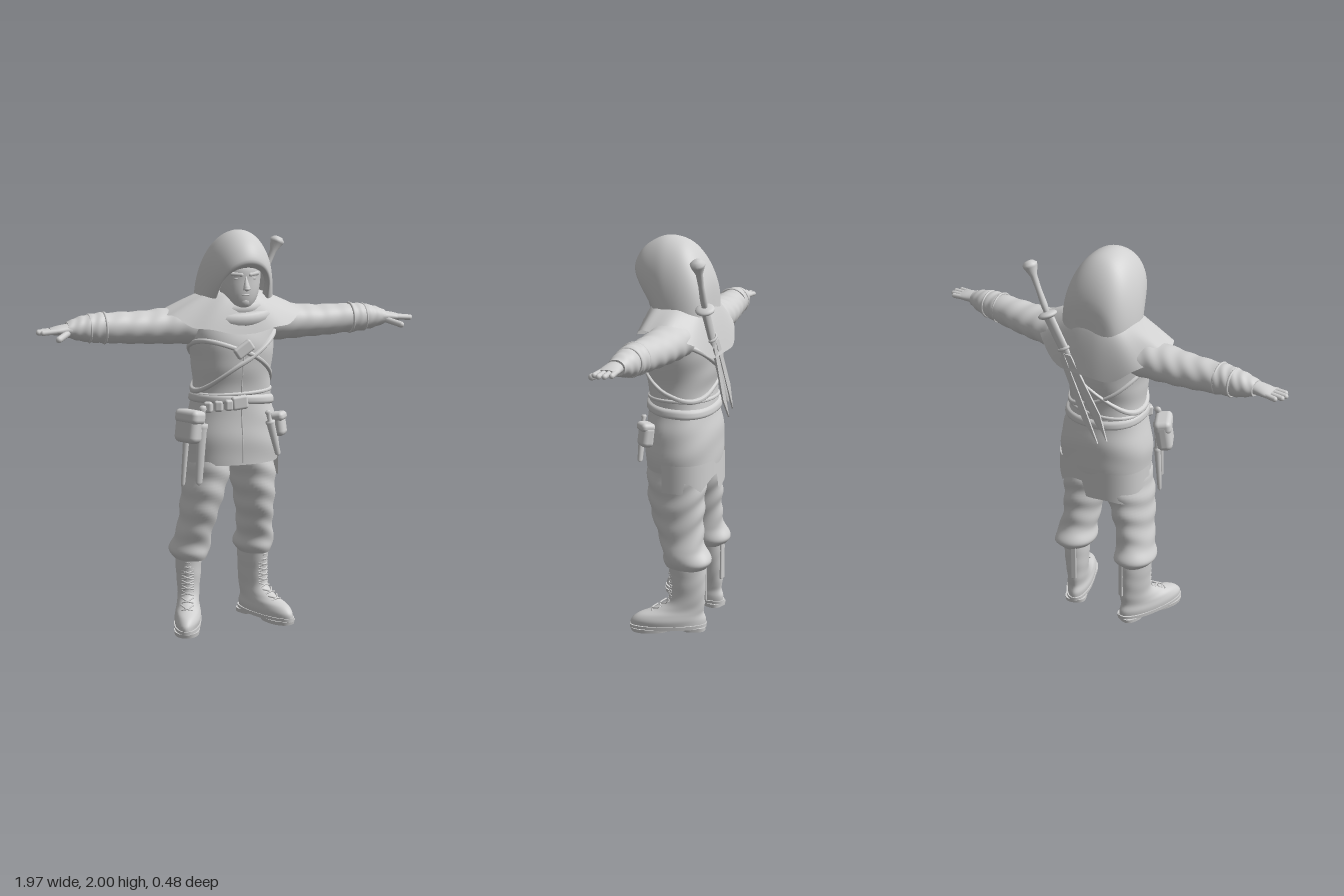
import * as THREE from 'three';
import { RoundedBoxGeometry } from 'three/addons/geometries/RoundedBoxGeometry.js';

const { sin, cos, abs, sign, PI, pow, floor, min, max } = Math;
const clay = new THREE.MeshStandardMaterial({ color: 0xd0d0d0, side: THREE.DoubleSide });
clay.name = 'grey clay';
const lerp = THREE.MathUtils.lerp;
const V = (x, y, z) => new THREE.Vector3(x, y, z);
const bend = (q, p) => sign(q) * pow(abs(q), p);

function mesh(parent, name, geometry, pos = [0, 0, 0], rot = [0, 0, 0], scale = [1, 1, 1]) {
  const m = new THREE.Mesh(geometry, clay);
  m.name = name;
  m.position.set(...pos); m.rotation.set(...rot); m.scale.set(...scale);
  parent.add(m);
  return m;
}

// Grid surface: fn(u, v) gives [x, y, z]; closed wraps u.
function surface(fn, nu, nv, closed = false) {
  const pos = [], idx = [], cols = closed ? nu : nu + 1;
  for (let j = 0; j <= nv; j++) for (let i = 0; i < cols; i++) pos.push(...fn(i / nu, j / nv));
  for (let j = 0; j < nv; j++) for (let i = 0; i < nu; i++) {
    const a = j * cols + i, b = j * cols + (i + 1) % cols, c = a + cols, d = b + cols;
    idx.push(a, c, b, b, c, d);
  }
  const g = new THREE.BufferGeometry();
  g.setAttribute('position', new THREE.Float32BufferAttribute(pos, 3));
  g.setIndex(idx);
  g.computeVertexNormals();
  return g;
}

// Smooth blend through the rows of a section table, t in 0..1.
function rowAt(rows, t) {
  const n = rows.length - 1, k = min(floor(t * n), n - 1), f = t * n - k;
  const r = i => rows[max(0, min(n, i))];
  return rows[0].map((_, c) => {
    const p0 = r(k - 1)[c], p1 = r(k)[c], p2 = r(k + 1)[c], p3 = r(k + 2)[c];
    return p1 + 0.5 * f * (p2 - p0 + f * (2 * p0 - 5 * p1 + 4 * p2 - p3 + f * (3 * (p1 - p2) + p3 - p0)));
  });
}

// Rows are [height, cx, cz, rx, rz]; the ends are capped; fold adds cloth creases.
function loft(rows, { fold = 0, freq = 90, power = 1, nu = 40, steps = 6 } = {}) {
  const n = (rows.length - 1) * steps;
  const ring = (u, t, shrink) => {
    const [y, cx, cz, rx, rz] = rowAt(rows, t), a = u * 2 * PI;
    const w = shrink * (1 + fold * sin(freq * y + 2.2 * sin(a + 1) + 1.3 * cos(2 * a)));
    return [cx + rx * w * bend(cos(a), power), y, cz + rz * w * bend(sin(a), power)];
  };
  // The end rings are doubled to keep the cap edges sharp.
  return surface((u, v) => {
    const j = Math.round(v * (n + 4)) - 2;
    return ring(u, max(0, min(n, j)) / n, j === -2 || j === n + 2 ? 0 : 1);
  }, nu, n + 4, true);
}

const tube = (pts, r, seg = 24) =>
  new THREE.TubeGeometry(new THREE.CatmullRomCurve3(pts.map(p => V(...p))), seg, r, 8);

const torsoRows = [
  [0.85, 0.005, -0.01, 0.235, 0.178], [0.95, 0.003, -0.01, 0.243, 0.183], [1.05, 0, -0.01, 0.231, 0.178],
  [1.15, 0, -0.005, 0.203, 0.165], [1.25, 0, 0, 0.193, 0.163], [1.35, 0, 0, 0.2, 0.182],
  [1.45, 0, -0.005, 0.212, 0.188], [1.55, 0, -0.015, 0.205, 0.17], [1.65, 0.01, -0.02, 0.11, 0.11]];
const torsoPoint = (a, y, off) => {
  const [, cx, cz, rx, rz] = rowAt(torsoRows, (y - 0.85) / 0.8);
  return [cx + (rx + off) * bend(cos(a), 0.88), y, cz + (rz + off) * bend(sin(a), 0.88)];
};
// Band wrapped round the torso; height follows fn(angle).
const band = (fn, width, off) => surface((u, v) => {
  const a = u * 2 * PI, k = v * 2 - 1;
  return torsoPoint(a, fn(a) + k * width / 2, off * (1 - pow(abs(k), 4) * 1.2));
}, 72, 8, true);

function buildHead(g) {
  mesh(g, 'head', loft([[1.6, 0.015, 0.07, 0.055, 0.06], [1.64, 0.015, 0.09, 0.065, 0.075], [1.69, 0.015, 0.08, 0.09, 0.098],
    [1.76, 0.015, 0.07, 0.105, 0.108], [1.83, 0.015, 0.065, 0.104, 0.108], [1.9, 0.015, 0.05, 0.06, 0.07]]));
  mesh(g, 'nose', new THREE.ConeGeometry(0.02, 0.075, 12), [0.015, 1.755, 0.182], [-0.2, 0, 0]);
  mesh(g, 'noseTip', new THREE.SphereGeometry(0.017, 12, 8), [0.015, 1.728, 0.188]);
  mesh(g, 'mouth', new THREE.SphereGeometry(0.028, 16, 8), [0.015, 1.692, 0.165], [0, 0, 0], [1, 0.3, 0.6]);
  mesh(g, 'chin', new THREE.SphereGeometry(0.034, 16, 10), [0.015, 1.66, 0.142]);
  for (const s of [-1, 1]) {
    mesh(g, 'brow', new THREE.CapsuleGeometry(0.011, 0.045, 4, 10), [0.015 + s * 0.043, 1.792, 0.163], [0, s * 0.35, PI / 2 + s * 0.1]);
    mesh(g, 'eye', new THREE.SphereGeometry(0.013, 12, 8), [0.015 + s * 0.04, 1.77, 0.16], [0, 0, 0], [1.3, 0.7, 0.8]);
  }
  // Hood arches from front lip to nape: [topZ, topY, bottomZ, bottomY, halfWidth, roundness]
  const arches = [[0.19, 1.825, 0.04, 1.64, 0.118, 0.55], [0.235, 1.855, 0.07, 1.62, 0.132, 0.58], [0.2, 1.93, 0.06, 1.6, 0.158, 0.68],
    [0.125, 1.983, 0.04, 1.58, 0.18, 0.75], [0.05, 2.0, 0.01, 1.57, 0.192, 0.75], [-0.04, 1.975, -0.05, 1.57, 0.194, 0.75],
    [-0.11, 1.9, -0.1, 1.57, 0.18, 0.7], [-0.155, 1.79, -0.135, 1.57, 0.15, 0.65], [-0.165, 1.66, -0.16, 1.57, 0.1, 0.65]];
  mesh(g, 'hood', surface((u, v) => {
    const [tz, ty, bz, by, w, p] = rowAt(arches, v), t = u * PI, f = pow(max(0, sin(t)), p);
    return [0.018 + w * cos(t), lerp(by, ty, f), lerp(bz, tz, f)];
  }, 40, 40));
  // Scarf rolls
  [[0.145, 0.035, 1.64, 0.2], [0.175, 0.038, 1.605, 0.26], [0.135, 0.032, 1.61, 0.45]].forEach(([r, t, y, tilt]) =>
    mesh(g, 'scarf', new THREE.TorusGeometry(r, t, 12, 40), [0.015, y, 0.01], [PI / 2 + tilt, 0.06, 0], [1.08, 0.85, 1]));
}

function buildTorso(g) {
  mesh(g, 'tunic', loft(torsoRows, { power: 0.88, fold: 0.008, freq: 40, nu: 64 }));
  // Shoulder mantle, hanging lower at the back
  mesh(g, 'mantle', surface((u, v) => {
    const a = u * 2 * PI, c = bend(cos(a), 0.75), s = sin(a);
    const drop = 0.095 * cos(a) ** 2 + (s > 0 ? 0.19 : 0.27) * s * s + 0.008 * sin(9 * a);
    return [0.005 + lerp(0.13, 0.355, v) * c, 1.7 - drop * pow(v, 1.2),
      -0.015 + lerp(0.12, 0.202, pow(v, 0.7)) * bend(s, 0.88)];
  }, 72, 14, true));
  mesh(g, 'chestStrap', band(a => 1.36 + 0.15 * cos(a), 0.03, 0.012));
  mesh(g, 'crossStrap', band(a => 1.34 - 0.1 * cos(a) + 0.08 * sin(a), 0.028, 0.01));
  mesh(g, 'strapBuckle', new RoundedBoxGeometry(0.1, 0.06, 0.03, 3, 0.012), [0, 1.43, 0.192], [0, 0, 0.6]);
  mesh(g, 'belt', band(a => 1.165 - 0.012 * cos(a) + 0.012 * sin(a), 0.05, 0.013));
  mesh(g, 'upperBelt', band(a => 1.205 + 0.008 * cos(a), 0.02, 0.008));
  mesh(g, 'frontSeam', tube([1.55, 1.4, 1.25, 1.1, 0.96, 0.86].map(y => torsoPoint(PI / 2, y, 0)), 0.004));
  // Back tail below the tunic hem: one whole panel, one torn panel
  mesh(g, 'backTail', surface((u, v) => {
    const a = PI * (0.96 + u * 1.08);
    const tear = u > 0.5 ? 0.02 + 0.06 * abs(sin(9 * u)) * (u < 0.85) : 0.006 * sin(20 * u);
    return [0.005 + 0.242 * bend(cos(a), 0.75), lerp(0.9, 0.735 + tear, v), -0.012 + 0.178 * bend(sin(a), 0.8)];
  }, 72, 8));
}

function buildBeltGear(g) {
  mesh(g, 'beltBuckle', new RoundedBoxGeometry(0.085, 0.07, 0.03, 3, 0.014), [-0.015, 1.165, 0.172], [0, 0, 0.1]);
  [-0.07, -0.115, -0.16].forEach((x, i) =>
    mesh(g, 'beltPouch', new RoundedBoxGeometry(0.042, 0.055, 0.04, 3, 0.012), [x, 1.155 - i * 0.006, 0.165 - i * 0.022], [0, -0.3 * i, 0]));
  mesh(g, 'sidePouch', new RoundedBoxGeometry(0.08, 0.16, 0.14, 4, 0.03), [-0.258, 1.05, 0.115], [0, 0.5, -0.15]);
  mesh(g, 'pouchFlap', new RoundedBoxGeometry(0.088, 0.07, 0.148, 3, 0.025), [-0.252, 1.1, 0.117], [0, 0.5, -0.15]);
  mesh(g, 'leftPouch', new RoundedBoxGeometry(0.07, 0.11, 0.08, 4, 0.025), [0.21, 1.03, 0.115], [0, -0.7, 0.15]);
  mesh(g, 'leftPouchFlap', new RoundedBoxGeometry(0.075, 0.045, 0.085, 3, 0.02), [0.207, 1.075, 0.118], [0, -0.7, 0.15]);
  const blade = [[0.006, -0.2], [0.018, -0.185], [0.026, 0.08], [0.03, 0.085], [0.03, 0.105], [0.014, 0.11],
    [0.014, 0.17], [0.02, 0.18], [0.014, 0.195], [0, 0.198]].map(p => new THREE.Vector2(...p));
  const sheath = new THREE.LatheGeometry(blade, 14);
  mesh(g, 'dagger', sheath, [-0.208, 0.96, 0.148], [0, 0, -0.06], [1, 1, 0.7]);
  mesh(g, 'dagger', sheath, [-0.262, 0.9, 0.06], [0, 0, -0.08], [0.6, 0.8, 0.6]);
  mesh(g, 'dagger', sheath, [0.165, 1.0, 0.158], [0, 0, 0.25], [0.8, 0.6, 0.7]);
}

function buildArm(g, s) {
  const arm = new THREE.Group();
  arm.name = s > 0 ? 'leftArm' : 'rightArm';
  // Lofted upright, then laid along x
  const laid = (name, rows, opts) => mesh(arm, name,
    loft(rows.map(([x, y, z, ry, rz]) => [x, -s * y, z, ry, rz]), opts), [0, 0, 0], [0, 0, -s * PI / 2]);
  laid('sleeve', [[0.12, 1.53, -0.03, 0.09, 0.1], [0.24, 1.535, -0.035, 0.095, 0.112], [0.34, 1.532, -0.035, 0.088, 0.103],
    [0.46, 1.53, -0.032, 0.08, 0.093], [0.56, 1.533, -0.028, 0.077, 0.082], [0.66, 1.537, -0.022, 0.071, 0.072]], { fold: 0.022, freq: 65, steps: 12 });
  laid('forearmWrap', [[0.64, 1.537, -0.022, 0.076, 0.076], [0.7, 1.538, -0.018, 0.07, 0.07],
    [0.77, 1.538, -0.014, 0.058, 0.06], [0.83, 1.537, -0.006, 0.037, 0.046]], { fold: 0.025, freq: 130, steps: 12 });
  laid('palm', [[0.8, 1.537, 0, 0.034, 0.04], [0.84, 1.537, 0, 0.028, 0.043], [0.88, 1.535, 0, 0.023, 0.047], [0.915, 1.533, 0, 0.015, 0.046]]);
  for (const [x, r] of [[0.645, 0.074], [0.72, 0.066]])
    mesh(arm, 'cuffBand', new THREE.TorusGeometry(r, 0.006, 8, 32), [s * x, 1.537, -0.019], [0, PI / 2, 0]);
  const finger = (name, a, b, r) => {
    const p = V(s * a[0], a[1], a[2]), q = V(s * b[0], b[1], b[2]), d = q.clone().sub(p);
    const m = mesh(arm, name, new THREE.CapsuleGeometry(r, d.length() - r, 4, 10), p.lerp(q, 0.5).toArray());
    m.quaternion.setFromUnitVectors(V(0, 1, 0), d.normalize());
  };
  [[0.034, 0.042, 0.962], [0.012, 0.015, 0.978], [-0.011, -0.012, 0.973], [-0.033, -0.037, 0.95]].forEach(([z0, z1, x]) =>
    finger('finger', [0.88, 1.535, z0], [x, 1.53, z1], 0.0125));
  finger('thumb', [0.83, 1.525, 0.025], [0.895, 1.5, 0.09], 0.016);
  g.add(arm);
}

function buildLeg(g, s) {
  const leg = new THREE.Group(), R = s < 0 ? 1 : 0;
  leg.name = R ? 'rightLeg' : 'leftLeg';
  // The right leg stands wider and slightly forward
  const shift = y => R * max(0, 0.06 - (y - 0.35) * 0.1), dz = y => R * max(0, 0.03 - (y - 0.35) * 0.07);
  const rows = [[0.345, 0.148, -0.075, 0.08, 0.105], [0.385, 0.149, -0.08, 0.102, 0.126], [0.45, 0.147, -0.058, 0.092, 0.115],
    [0.53, 0.138, -0.035, 0.09, 0.122], [0.65, 0.128, -0.015, 0.1, 0.142], [0.78, 0.115, -0.008, 0.112, 0.152], [0.9, 0.11, -0.01, 0.105, 0.15]];
  mesh(leg, 'trouserLeg', loft(rows.map(([y, x, z, rx, rz]) => [y, s * (x + shift(y)), z + dz(y), rx, rz]), { fold: 0.035, freq: 55, steps: 8 }));
  const boot = new THREE.Group();
  boot.name = 'boot';
  boot.position.set(s * (0.145 + R * 0.065), 0, -0.08 + R * 0.02);
  boot.rotation.y = s * (0.4 - R * 0.05);
  mesh(boot, 'bootUpper', loft([[0.03, 0, 0.1, 0.064, 0.192], [0.06, 0, 0.1, 0.067, 0.19], [0.09, 0, 0.085, 0.062, 0.168],
    [0.12, 0, 0.042, 0.056, 0.126], [0.17, 0, 0.006, 0.056, 0.094], [0.27, 0, 0, 0.064, 0.092], [0.37, 0, 0.005, 0.069, 0.096]], { fold: 0.012, freq: 70 }));
  mesh(boot, 'sole', loft([[0.015, 0, 0.1, 0.067, 0.196], [0.035, 0, 0.1, 0.069, 0.197]], { power: 0.88 }));
  mesh(boot, 'toeSole', loft([[0, 0, 0.19, 0.062, 0.1], [0.02, 0, 0.19, 0.065, 0.105]], { power: 0.88 }));
  mesh(boot, 'heel', loft([[0, 0, -0.03, 0.055, 0.06], [0.02, 0, -0.03, 0.057, 0.062]], { power: 0.7 }));
  // Laces up the front
  const laceZ = y => y < 0.17 ? lerp(0.215, 0.106, (y - 0.1) / 0.07) : lerp(0.101, 0.098, (y - 0.17) / 0.18);
  for (let i = 0; i < 9; i++) {
    const y = 0.11 + i * 0.027;
    for (const k of [-1, 1])
      mesh(boot, 'lace', tube([[-k * 0.03, y, laceZ(y) - 0.02], [0, y + 0.008, laceZ(y + 0.008) - 0.004],
        [k * 0.03, y + 0.018, laceZ(y + 0.018) - 0.02]], 0.0045, 8));
  }
  mesh(boot, 'backStay', new RoundedBoxGeometry(0.03, 0.2, 0.014, 2, 0.006), [0, 0.26, -0.09]);
  leg.add(boot);
  g.add(leg);
}

function buildSword(g) {
  const sword = new THREE.Group(), lower = new THREE.Group();
  sword.name = 'sword';
  sword.position.set(0.218, 1.69, -0.195);
  sword.rotation.z = -0.4;
  const hilt = [[0, 0], [0.014, 0.002], [0.017, 0.06], [0.014, 0.13], [0.017, 0.2], [0.034, 0.245], [0.037, 0.258], [0.02, 0.274], [0, 0.276]];
  mesh(sword, 'hilt', new THREE.LatheGeometry(hilt.map(p => new THREE.Vector2(...p)), 20));
  mesh(sword, 'guard', new THREE.SphereGeometry(0.048, 20, 12), [0, 0, 0], [0, 0, 0], [1, 0.38, 1]);
  // Scabbard lies flatter across the back than the hilt
  lower.name = 'scabbardGroup';
  lower.rotation.z = -0.14;
  mesh(lower, 'scabbard', loft([[-0.62, 0, 0, 0.012, 0.007], [-0.55, 0, 0, 0.024, 0.012], [-0.25, 0, 0, 0.028, 0.014], [0, 0, 0, 0.03, 0.018]]));
  // Forked cloth ends tied to the scabbard
  for (const k of [-1, 1]) {
    const s = new THREE.Shape([[0, 0], [0.035, -0.02], [0.045, -0.34], [0.012, -0.48], [0.006, -0.32]].map(p => new THREE.Vector2(k * p[0], p[1])));
    mesh(lower, 'clothTail', new THREE.ExtrudeGeometry(s, { depth: 0.008, bevelEnabled: false }), [0, -0.2, -0.018], [0, 0, k * 0.04 + 0.05]);
  }
  mesh(lower, 'scabbardTie', new THREE.TorusGeometry(0.028, 0.008, 8, 20), [0, -0.18, 0], [PI / 2, 0, 0], [1, 0.75, 1]);
  sword.add(lower);
  g.add(sword);
}

export function createModel() {
  const g = new THREE.Group();
  g.name = 'hoodedTraveller';
  buildHead(g);
  buildTorso(g);
  buildBeltGear(g);
  for (const s of [1, -1]) { buildArm(g, s); buildLeg(g, s); }
  buildSword(g);
  return g;
}
